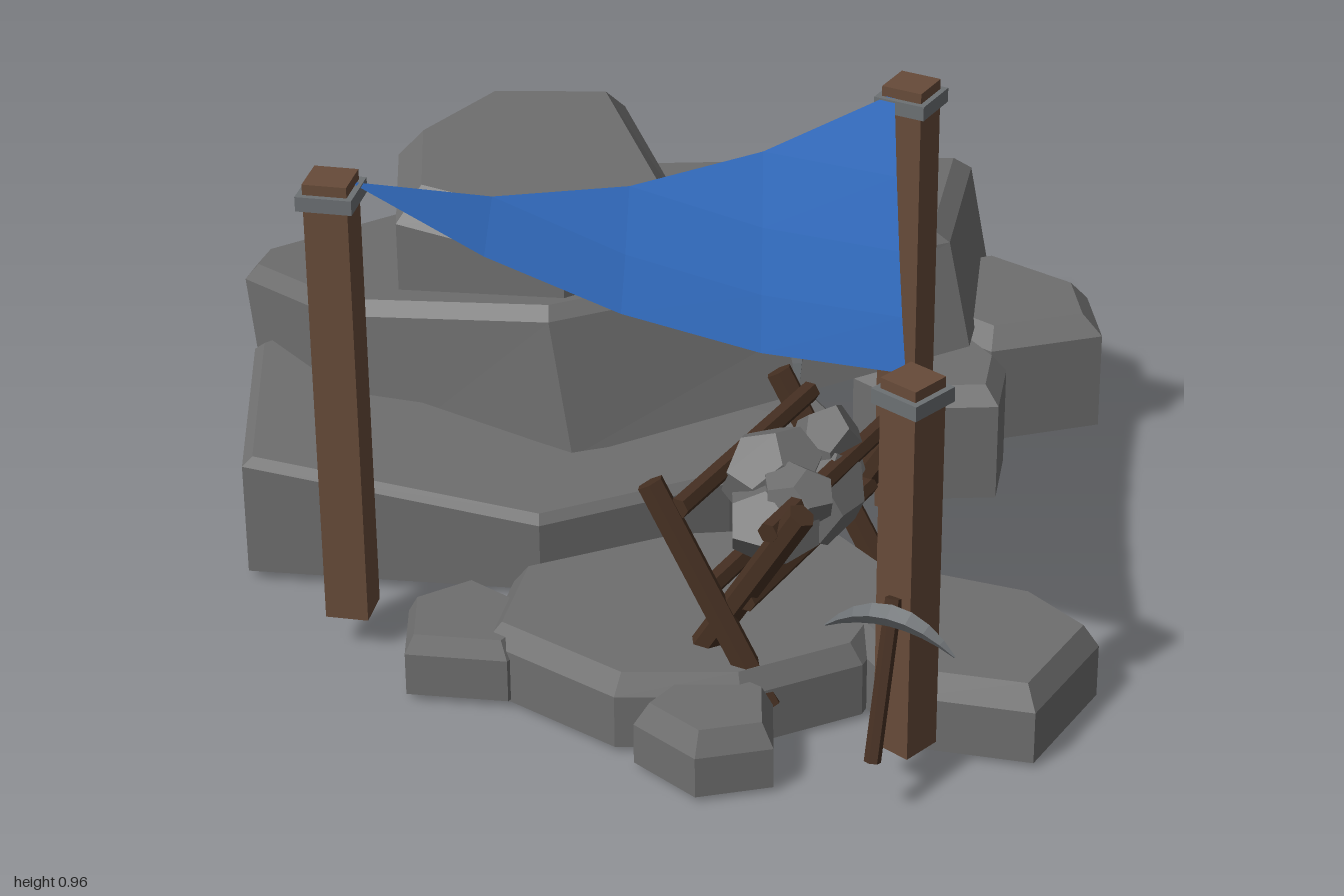
import * as THREE from 'three';

const mat = (color, side = THREE.FrontSide) =>
  new THREE.MeshStandardMaterial({ color, flatShading: true, side });
const STONE = mat(0x6e6e6e), WOOD = mat(0x674b39), DARK_WOOD = mat(0x463022);
const METAL = mat(0x6c7073, THREE.DoubleSide), CLOTH = mat(0x2f66b5, THREE.DoubleSide);
const V = (x, y, z) => new THREE.Vector3(x, y, z);

function add(parent, name, geometry, material) {
  const mesh = new THREE.Mesh(geometry, material);
  mesh.name = name;
  parent.add(mesh);
  return mesh;
}

// Chamfered rock from an [x, z] outline; bottom, shoulder and top heights are numbers or functions of x, z.
function rock(parent, name, outline, bottom, shoulder, top, inset = 0.9, shift = 0) {
  const n = outline.length;
  const area = outline.reduce((s, [x, z], i) => {
    const [x2, z2] = outline[(i + 1) % n];
    return s + x * z2 - x2 * z;
  }, 0);
  const loop = area < 0 ? outline : [...outline].reverse();
  const cx = loop.reduce((s, p) => s + p[0], 0) / n;
  const cz = loop.reduce((s, p) => s + p[1], 0) / n;
  const fn = (h) => (typeof h === 'function' ? h : () => h);
  const levels = [[fn(bottom), 1, shift], [fn(shoulder), 1, 0], [fn(top), inset, 0]];
  const pos = [], idx = [];
  for (const [h, k, dz] of levels)
    for (const [px, pz] of loop) {
      const x = cx + (px - cx) * k, z = cz + (pz - cz) * k;
      pos.push(x, h(x, z), z + dz);
    }
  for (let l = 0; l < 2; l++)
    for (let i = 0; i < n; i++) {
      const a = l * n + i, b = l * n + (i + 1) % n;
      idx.push(a, b, b + n, a, b + n, a + n);
    }
  pos.push(cx, levels[0][0](cx, cz), cz + shift, cx, levels[2][0](cx, cz), cz);
  for (let i = 0; i < n; i++) {
    const j = (i + 1) % n;
    idx.push(3 * n, j, i, 3 * n + 1, 2 * n + i, 2 * n + j);
  }
  const g = new THREE.BufferGeometry();
  g.setAttribute('position', new THREE.Float32BufferAttribute(pos, 3));
  g.setIndex(idx);
  g.computeVertexNormals();
  return add(parent, name, g, STONE);
}

// Six-sided pole between two points.
function pole(parent, name, a, b, r) {
  const d = b.clone().sub(a);
  const m = add(parent, name, new THREE.CylinderGeometry(r, r, d.length(), 6), DARK_WOOD);
  m.position.copy(a).add(b).multiplyScalar(0.5);
  m.quaternion.setFromUnitVectors(V(0, 1, 0), d.normalize());
}

// Tapered curved blade, pointed at both ends.
function blade(parent, name, points, r) {
  const curve = new THREE.QuadraticBezierCurve3(...points);
  const segs = 8, sides = 4;
  const g = new THREE.TubeGeometry(curve, segs, r, sides, false);
  const p = g.attributes.position, v = V(0, 0, 0);
  for (let i = 0; i <= segs; i++) {
    const c = curve.getPointAt(i / segs), k = 0.08 + 0.92 * Math.sin((Math.PI * i) / segs);
    for (let j = 0; j <= sides; j++) {
      const q = i * (sides + 1) + j;
      v.fromBufferAttribute(p, q).sub(c).multiplyScalar(k).add(c);
      p.setXYZ(q, v.x, v.y, v.z);
    }
  }
  add(parent, name, g, METAL);
}

export function createModel() {
  const model = new THREE.Group();
  model.name = 'rockShelter';

  // Large tilted slab and the boulder on top of it
  const slabTop = (x, z) => 0.518 - 0.053 * x + 0.154 * z;
  rock(model, 'slab',
    [[-0.39, -1], [0.11, -0.93], [0.49, -0.76], [0.892, -0.2], [0.49, 0.1], [-0.3, -0.22], [-0.515, -0.61], [-0.47, -0.94]],
    (x, z) => Math.max(0, 0.25 - 0.02 * x + 0.26 * z), (x, z) => slabTop(x, z) - 0.03, slabTop, 0.955, 0.06);
  rock(model, 'topBoulder',
    [[-0.39, -0.555], [-0.21, -0.755], [0.07, -0.8], [0.295, -0.63], [0.07, -0.195], [-0.24, -0.24]],
    0.38, (x, z) => 0.53 - 0.118 * z, (x, z) => 0.6 - 0.11 * z, 0.8);

  // Base rock below the slab: level behind a ridge, sloping down in front of it
  const baseTop = (x, z) => 0.265 - 0.25 * Math.max(0, z + 0.51 - 0.26 * (x + 0.825));
  rock(model, 'baseRock',
    [[-0.83, -0.51], [-0.51, -0.87], [0.1, -0.82], [0.4, -0.68], [0.2, 0.12], [-0.1, 0.07], [-0.48, -0.06]],
    0.02, (x, z) => baseTop(x, z) - 0.015, baseTop, 0.965);

  // Rocks in front of and beside the slab
  rock(model, 'frontRockInner',
    [[0.29, 0.03], [0.29, 0.21], [0.405, 0.315], [0.53, 0.225], [0.58, 0.05], [0.43, -0.1]], 0.015, 0.22, 0.255, 0.8);
  rock(model, 'frontRockOuter',
    [[0.57, 0.15], [0.78, 0.265], [0.892, 0.13], [0.865, -0.12], [0.7, -0.2], [0.56, 0]], 0.015, 0.22, 0.26, 0.8);
  rock(model, 'sideRock',
    [[0.42, -0.4], [0.66, -0.4], [0.71, -0.49], [0.66, -0.535], [0.42, -0.535]], 0.1, 0.2, 0.22, 0.95);

  // Low stones forming the floor
  rock(model, 'floorStone',
    [[-0.78, 0.12], [-0.74, 0.42], [-0.58, 0.58], [-0.35, 0.66], [-0.1, 0.56], [-0.06, 0.32], [-0.3, 0.12], [-0.6, 0]],
    0.01, 0.115, 0.155, 0.92);
  rock(model, 'leftFloorStone',
    [[-0.79, -0.08], [-0.895, 0.03], [-0.78, 0.18], [-0.64, 0.16], [-0.66, -0.05]], 0.015, 0.1, 0.135, 0.85);
  rock(model, 'smallFloorStone',
    [[-0.75, 0.48], [-0.75, 0.635], [-0.63, 0.71], [-0.53, 0.61], [-0.55, 0.45]], 0.01, 0.09, 0.135, 0.8);
  rock(model, 'frontFloorStone',
    [[-0.37, 0.79], [-0.25, 0.985], [0, 0.92], [0.02, 0.75], [-0.07, 0.55], [-0.3, 0.55]], 0.01, 0.115, 0.16, 0.87);

  // Posts with a metal band near the top: x, z, bottom, top, width, turn
  const posts = [[-0.826, -0.2, 0.07, 0.96, 0.081, 0.6], [0.203, 0.247, 0.06, 0.96, 0.081, 0.28], [-0.441, 0.848, 0.08, 0.81, 0.078, 0.03]];
  for (const [x, z, y0, y1, w, turn] of posts) {
    const post = new THREE.Group();
    post.name = 'post';
    post.position.set(x, 0, z);
    post.rotation.y = turn;
    add(post, 'postShaft', new THREE.BoxGeometry(w, y1 - y0, w), WOOD).position.y = (y0 + y1) / 2;
    add(post, 'postBand', new THREE.BoxGeometry(w + 0.022, 0.028, w + 0.022), METAL).position.y = y1 - 0.034;
    model.add(post);
  }

  // Sagging triangular awning
  const A = V(-0.795, 0.945, -0.185), B = V(0.17, 0.945, 0.235), C = V(-0.435, 0.805, 0.825);
  const N = 4, pos = [], idx = [];
  const at = (i, j) => (i * (i + 1)) / 2 + j;
  for (let i = 0; i <= N; i++)
    for (let j = 0; j <= i; j++) {
      const a = 1 - i / N, b = (i - j) / N, c = j / N;
      const p = V(0, 0, 0).addScaledVector(A, a).addScaledVector(B, b).addScaledVector(C, c);
      pos.push(p.x, p.y - 0.4 * a * b - 0.3 * a * c - 0.2 * b * c, p.z);
      if (i < N) idx.push(at(i, j), at(i + 1, j + 1), at(i + 1, j));
      if (i < N && j < i) idx.push(at(i, j), at(i, j + 1), at(i + 1, j + 1));
    }
  const cloth = new THREE.BufferGeometry();
  cloth.setAttribute('position', new THREE.Float32BufferAttribute(pos, 3));
  cloth.setIndex(idx);
  cloth.computeVertexNormals();
  add(model, 'awning', cloth, CLOTH);

  // Trestle: crossed legs at both ends joined by rails
  const trestle = new THREE.Group();
  trestle.name = 'trestle';
  trestle.position.set(-0.305, 0, 0.43);
  trestle.rotation.y = 0.28;
  model.add(trestle);
  for (const e of [-1, 1]) {
    for (const s of [-1, 1])
      pole(trestle, 'trestleLeg', V(e * 0.24 + s * 0.014, 0.47, s * 0.145), V(e * 0.24 + s * 0.014, 0.075, -s * 0.095), 0.026);
    pole(trestle, 'topRail', V(-0.25, 0.43, e * 0.09), V(0.25, 0.43, e * 0.09), 0.02);
    pole(trestle, 'lowerRail', V(-0.24, 0.27, e * 0.04), V(0.24, 0.27, e * 0.04), 0.02);
  }

  // Pile of loose stones held by the trestle: x, y, z, radius
  const stones = [[-0.1, 0.365, 0.01, 0.095], [0.03, 0.355, 0.03, 0.1], [0.11, 0.375, 0, 0.085],
    [-0.04, 0.42, -0.03, 0.09], [0.07, 0.43, 0.02, 0.08], [-0.09, 0.42, 0.05, 0.07]];
  stones.forEach(([x, y, z, r], i) => {
    const stone = add(trestle, 'looseStone', new THREE.DodecahedronGeometry(r, 0), STONE);
    stone.position.set(x, y, z + 0.015);
    stone.rotation.set(i * 1.3, i * 2.1, i * 0.7);
    stone.scale.set(1.1, 0.85, 1);
  });

  // Pick leaning against the front post, and a blade stuck in the slab
  pole(model, 'pickHandle', V(-0.485, 0.4, 0.855), V(-0.57, 0.12, 0.89), 0.015);
  blade(model, 'pickHead', [V(-0.55, 0.33, 0.755), V(-0.505, 0.43, 0.87), V(-0.47, 0.33, 0.985)], 0.02);
  blade(model, 'stuckBlade', [V(0.15, 0.49, -0.06), V(0.145, 0.37, 0.03), V(0.12, 0.25, 0.035)], 0.018);

  return model;
}
